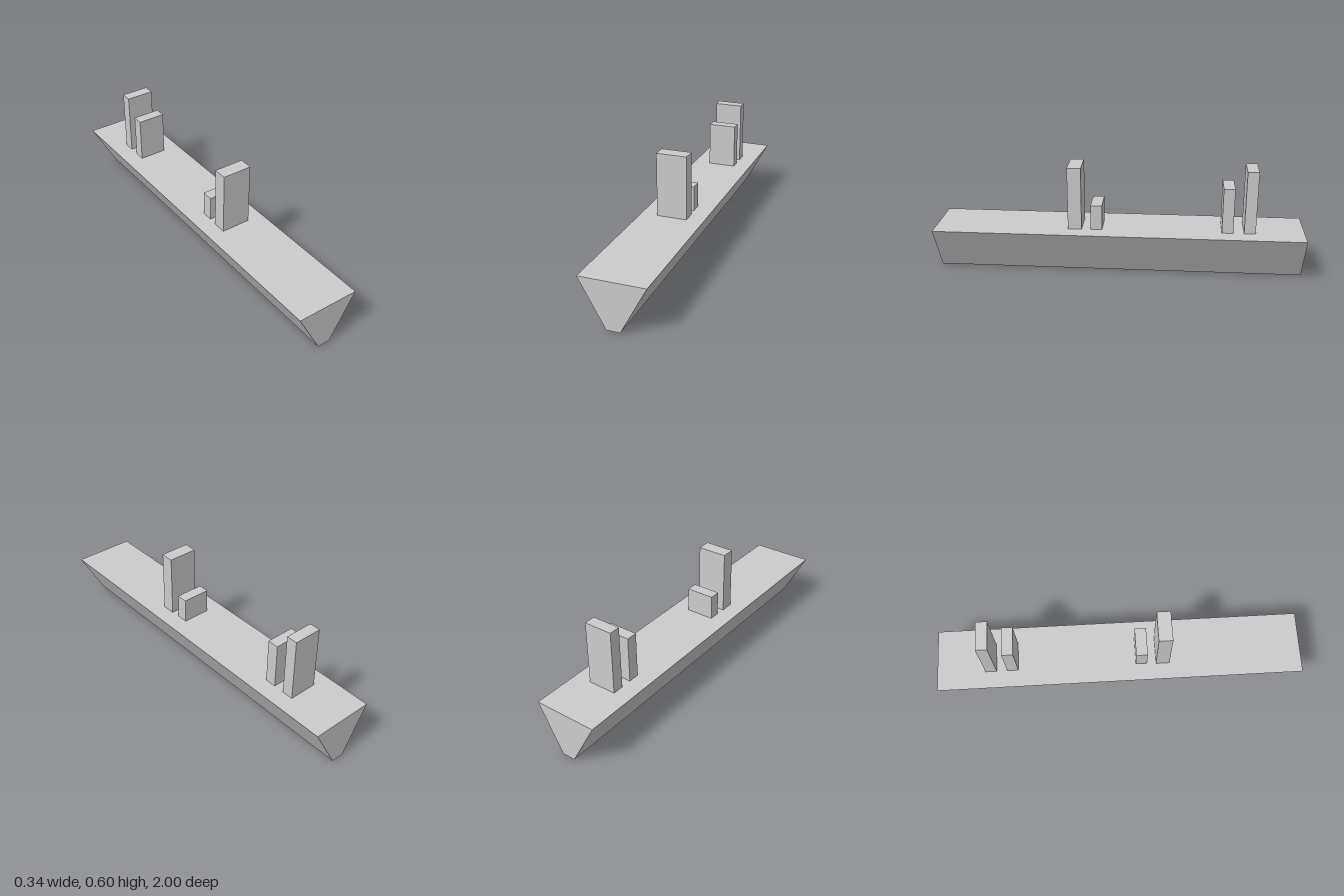
import * as THREE from 'three';

const DECK_Y = 0.254;
const LENGTH = 2;

export function createModel() {
  const model = new THREE.Group();
  model.name = 'ship';
  const material = new THREE.MeshStandardMaterial({ color: 0xcccccc, flatShading: true });

  // Hull: trapezoid section, wide at the deck and narrow at the keel
  const section = new THREE.Shape([
    new THREE.Vector2(-0.035, 0),
    new THREE.Vector2(0.035, 0),
    new THREE.Vector2(0.172, DECK_Y),
    new THREE.Vector2(-0.172, DECK_Y),
  ]);
  const hullGeometry = new THREE.ExtrudeGeometry(section, { depth: LENGTH, bevelEnabled: false });
  hullGeometry.translate(0, 0, -LENGTH / 2);
  const hull = new THREE.Mesh(hullGeometry, material);
  hull.name = 'hull';
  model.add(hull);

  // Upright blocks standing on the deck
  const addBlock = (name, width, top, zBack, zFront) => {
    const height = top - DECK_Y;
    const block = new THREE.Mesh(new THREE.BoxGeometry(width, height, zFront - zBack), material);
    block.name = name;
    block.position.set(0, DECK_Y + height / 2, (zBack + zFront) / 2);
    model.add(block);
  };
  addBlock('bridgeTower', 0.163, 0.6, 0.199, 0.273);
  addBlock('bridgeRearBlock', 0.155, 0.39, 0.088, 0.15);
  addBlock('sternFrontBlock', 0.155, 0.503, -0.618, -0.557);
  addBlock('sternTower', 0.155, 0.6, -0.737, -0.676);

  return model;
}
